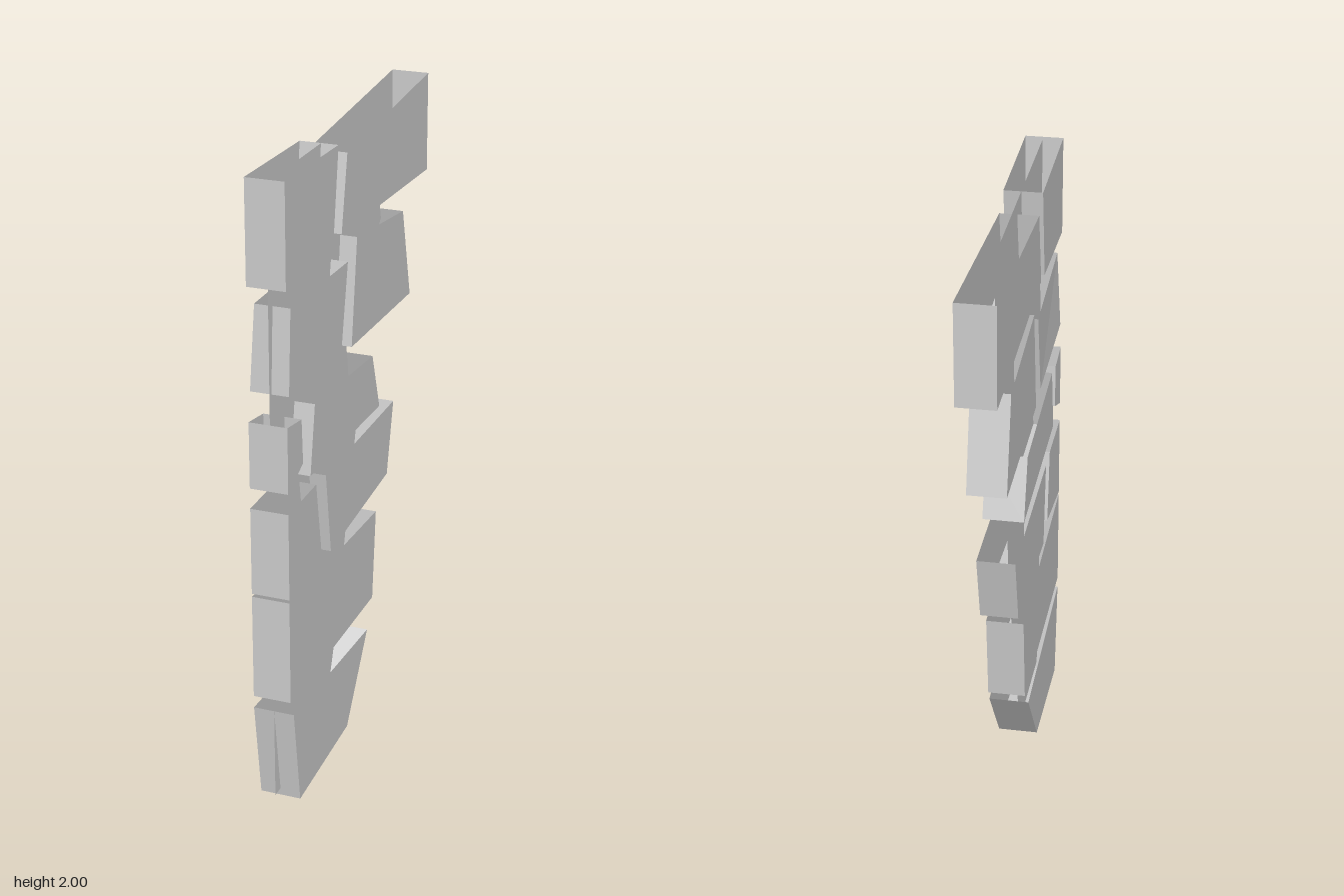
import * as THREE from 'three';

const material = new THREE.MeshStandardMaterial({ color: 0xcccccc, flatShading: true, side: THREE.DoubleSide });
const LEFT = 0.054, RIGHT = -0.066, PROUD = 0.064;

// Open-topped stone shell; corners are [z, y]: top front, top back, bottom back, bottom front
function stone(name, corners, xMax = LEFT, pinch = 0) {
  const plus = corners.map(([z, y]) => [xMax, y, z]);
  const minus = corners.map(([z, y], i) => [RIGHT + (i === 0 ? pinch : 0), y, z]);
  const pos = [];
  const quad = (a, b, c, d) => pos.push(...a, ...b, ...c, ...a, ...c, ...d);
  quad(plus[0], plus[3], plus[2], plus[1]);
  quad(minus[0], minus[1], minus[2], minus[3]);
  // back end, underside and front end
  for (let i = 1; i < 4; i++) {
    const j = (i + 1) % 4;
    quad(plus[i], plus[j], minus[j], minus[i]);
  }
  const geometry = new THREE.BufferGeometry();
  geometry.setAttribute('position', new THREE.Float32BufferAttribute(pos, 3));
  geometry.computeVertexNormals();
  const mesh = new THREE.Mesh(geometry, material);
  mesh.name = name;
  return mesh;
}

// Thin sheet on the centre plane that shows between the stones
function mortarSheet() {
  const outline = [
    [0.605, 0.025], [0.605, 1.99], [-0.22, 1.985], [-0.23, 1.96], [-0.3, 1.68], [-0.32, 1.6],
    [-0.005, 1.32], [-0.02, 1.24], [-0.05, 1.04], [-0.055, 0.98],
    [-0.04, 0.73], [-0.01, 0.67], [0.075, 0.365], [0.095, 0.3], [0.2, 0.03],
  ];
  const shape = new THREE.Shape(outline.map(([z, y]) => new THREE.Vector2(-z, y)));
  const geometry = new THREE.ShapeGeometry(shape);
  geometry.rotateY(Math.PI / 2);
  const mesh = new THREE.Mesh(geometry, material);
  mesh.name = 'mortarSheet';
  return mesh;
}

export function createModel() {
  const group = new THREE.Group();
  group.name = 'brokenStoneWall';
  group.add(
    mortarSheet(),
    // courses from the bottom up
    stone('baseStone', [[0.605, 0.325], [-0.035, 0.285], [0.15, 0.025], [0.56, 0]], PROUD),
    stone('secondCourseStone', [[0.605, 0.705], [-0.14, 0.665], [-0.11, 0.365], [0.605, 0.365]]),
    stone('thirdCourseFrontStone', [[0.605, 0.995], [0.385, 0.995], [0.345, 0.755], [0.605, 0.715]]),
    stone('thirdCourseBackStone', [[0.305, 0.99], [-0.3, 0.99], [-0.243, 0.755], [0.265, 0.715]]),
    stone('fourthCourseFrontStone', [[0.605, 1.27], [0.497, 1.253], [0.488, 1.11], [0.605, 1.06]]),
    stone('fourthCourseBackStone', [[0.417, 1.27], [-0.073, 1.235], [-0.138, 1.04], [0.455, 1.055]], PROUD),
    stone('fifthCourseFrontStone', [[0.573, 1.622], [0.118, 1.608], [0.173, 1.34], [0.59, 1.36]], LEFT, 0.01),
    stone('fifthCourseBackStone', [[0.04, 1.66], [-0.375, 1.612], [-0.45, 1.31], [0.085, 1.323]]),
    stone('topCourseFrontStone', [[0.605, 2], [0.195, 1.988], [0.238, 1.7], [0.605, 1.682]]),
    stone('topCourseBackStone', [[0.123, 1.945], [-0.605, 2], [-0.605, 1.682], [0.17, 1.71]]),
  );
  return group;
}
